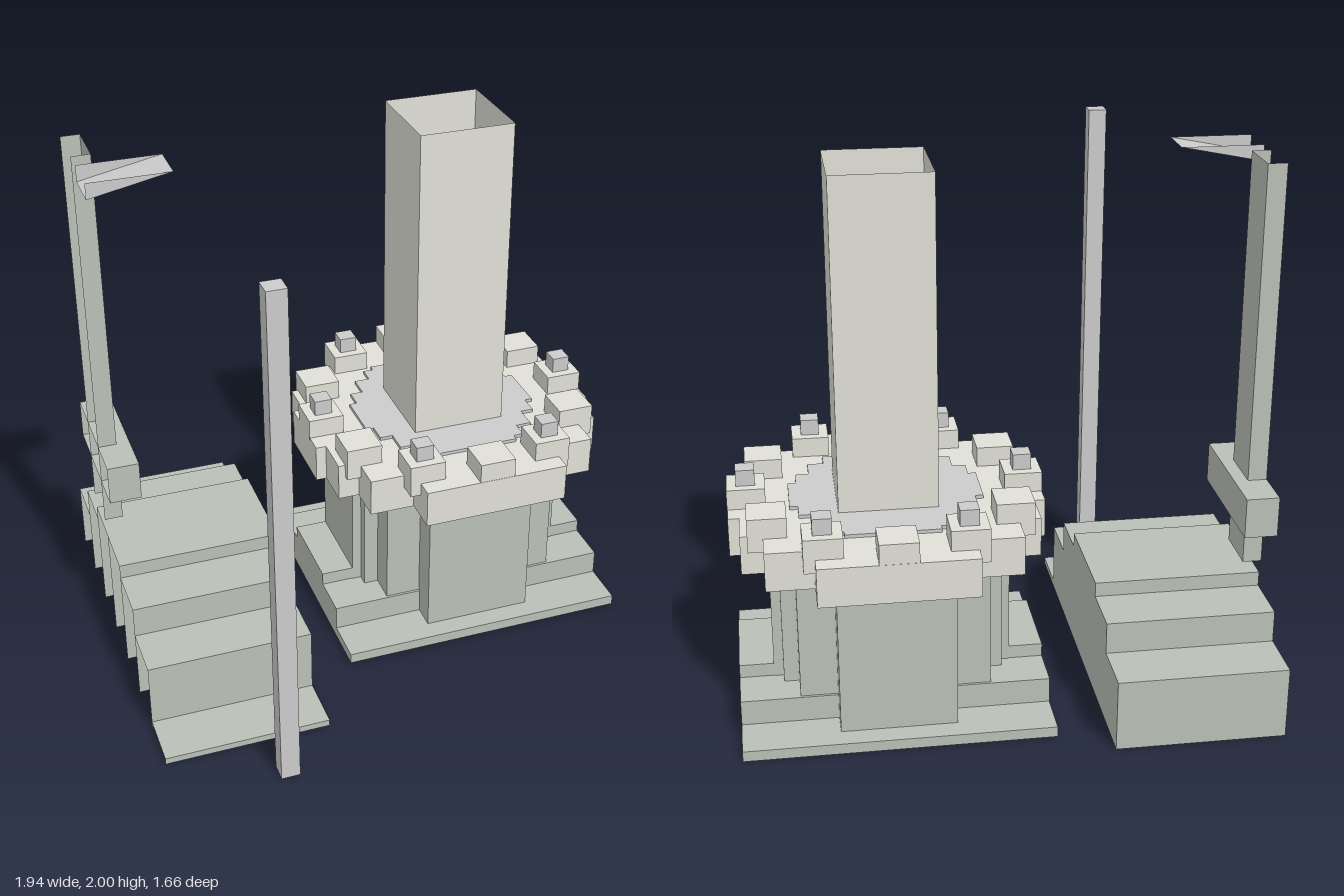
import * as THREE from 'three';

const mat = (color) => new THREE.MeshStandardMaterial({ color, side: THREE.DoubleSide, flatShading: true });
const CX = 0.4, CZ = -0.205; // tower axis

// Box from bounds; omit lists open sides: 0 +x, 1 -x, 2 +y, 3 -y, 4 +z, 5 -z
function box(name, [x0, x1], [y0, y1], [z0, z1], material, omit = []) {
  const g = new THREE.BoxGeometry(x1 - x0, y1 - y0, z1 - z0);
  const keep = [];
  for (let f = 0; f < 6; f++) {
    if (!omit.includes(f)) for (let i = 0; i < 6; i++) keep.push(g.index.getX(f * 6 + i));
  }
  g.setIndex(keep);
  g.clearGroups();
  g.translate((x0 + x1) / 2, (y0 + y1) / 2, (z0 + z1) / 2);
  const m = new THREE.Mesh(g, material);
  m.name = name;
  return m;
}

// Stepped round outline made of nested rectangles [half x, half z]
function steppedPoints(levels) {
  const q = [];
  levels.forEach(([hx, hz], i) => {
    q.push([hx, hz]);
    if (i < levels.length - 1) q.push([hx, levels[i + 1][1]]);
  });
  const r = [...q].reverse();
  return [
    ...q, ...r.map(([x, z]) => [x, -z]),
    ...q.map(([x, z]) => [-x, -z]), ...r.map(([x, z]) => [-x, z]),
  ].map(([x, z]) => new THREE.Vector2(x, z));
}

// Upright slab around the tower axis, with an optional hole
function slab(name, outline, hole, y0, y1, material) {
  const shape = new THREE.Shape(outline);
  if (hole) shape.holes.push(new THREE.Path(hole));
  const g = new THREE.ExtrudeGeometry(shape, { depth: y1 - y0, bevelEnabled: false });
  g.rotateX(-Math.PI / 2);
  g.translate(CX, y0, CZ);
  const m = new THREE.Mesh(g, material);
  m.name = name;
  return m;
}

export function createModel() {
  const model = new THREE.Group();
  const stone = mat(0xbabfb7), pale = mat(0xe0e0d7), grey = mat(0xcccccc);

  // Tower
  const tower = new THREE.Group();
  tower.name = 'tower';
  model.add(tower);

  const bodyLevels = [[0.21, 0.435], [0.345, 0.33], [0.4, 0.22], [0.435, 0.175]];
  const bodyOutline = steppedPoints(bodyLevels);

  // Base plate: thin, hollow underneath
  const plate = steppedPoints([[0.56, 0.515]]);
  tower.add(slab('basePlate', plate, bodyOutline, 0.03, 0.04, stone));
  tower.add(box('basePlateRim', [CX - 0.56, CX + 0.56], [0, 0.04], [CZ - 0.515, CZ + 0.515], stone, [2, 3]));

  // Side steps on both flanks
  for (const [h, hz] of [[0.135, 0.34], [0.185, 0.172]]) {
    for (const s of [-1, 1]) {
      const xs = [CX + s * 0.345, CX + s * 0.56].sort((a, b) => a - b);
      tower.add(box('sideStep', xs, [0, h], [CZ - hz, CZ + hz], stone, [3]));
    }
  }
  for (const s of [-1, 1]) {
    const xs = [CX + s * 0.2, CX + s * 0.345].sort((a, b) => a - b);
    tower.add(box('sideStepEnd', xs, [0.04, 0.135], [CZ - 0.34, CZ + 0.34], stone, [3]));
  }

  // Body: strips across x approximating a round plan, open below
  const edges = bodyLevels.map((l) => l[1]);
  bodyLevels.forEach(([hx, hz], i) => {
    const xs = [CX - hx, CX + hx];
    if (i === bodyLevels.length - 1) {
      tower.add(box('bodyStrip', xs, [0, 0.63], [CZ - hz, CZ + hz], stone, [3]));
      return;
    }
    tower.add(box('bodyStrip', xs, [0, 0.63], [CZ + edges[i + 1], CZ + hz], stone, [3]));
    tower.add(box('bodyStrip', xs, [0, 0.63], [CZ - hz, CZ - edges[i + 1]], stone, [3]));
  });

  // Parapet ring and floor
  const ringOuter = steppedPoints([[0.28, 0.575], [0.45, 0.435], [0.53, 0.295], [0.57, 0.145]]);
  const ringInner = steppedPoints([[0.17, 0.355], [0.21, 0.33], [0.27, 0.265], [0.32, 0.175], [0.35, 0.1]]);
  tower.add(slab('parapetRing', ringOuter, ringInner, 0.62, 0.765, pale));
  tower.add(slab('towerFloor', ringInner, null, 0.76, 0.778, grey));

  // Merlons, every second one topped with a small cube
  for (let i = 0; i < 12; i++) {
    const a = (i * Math.PI) / 6;
    const x = CX + 0.502 * Math.cos(a), z = CZ + 0.505 * Math.sin(a);
    const span = (c, h) => [c - h, c + h];
    tower.add(box('merlon', span(x, 0.069), [0.715, 0.84], span(z, 0.069), pale));
    if (i % 2 === 0) tower.add(box('merlonCap', span(x, 0.034), [0.84, 0.9], span(z, 0.034), grey, [3]));
  }

  // Square shaft, open at the top
  tower.add(box('shaft', [0.22, 0.58], [0.77, 2], [-0.38, -0.02], pale, [2, 3]));

  // Stairs: a row of hollow blocks, open below and on the outer side
  const stairs = new THREE.Group();
  stairs.name = 'stairs';
  model.add(stairs);
  const pitch = 1.45 / 7;
  [0.27, 0.39, 0.445, 0.445, 0.39, 0.27, 0.025].forEach((h, i) => {
    const z = -0.83 + i * pitch;
    stairs.add(box('stairBlock', [-0.97, -0.35], [0, h], [z, z + pitch], stone, [1, 3]));
  });

  // Wall pillar with bracket, open on the outer side
  model.add(box('wallPillar', [-0.97, -0.9], [0.5, 2], [-0.43, -0.24], stone, [1, 2, 3]));
  model.add(box('wallBracket', [-0.97, -0.85], [0.68, 0.83], [-0.59, -0.08], stone, [1]));

  // Sloped trough beside the pillar top: slanted floor and two end walls
  const trough = new THREE.BufferGeometry();
  const tri = [[-0.97, 2], [-0.97, 1.94], [-0.67, 2]];
  const pos = [0, -0.16].flatMap((z) => tri.flatMap(([x, y]) => [x, y, z]));
  trough.setAttribute('position', new THREE.Float32BufferAttribute(pos, 3));
  trough.setIndex([0, 1, 2, 3, 5, 4, 1, 4, 5, 1, 5, 2]);
  const flat = trough.toNonIndexed();
  flat.computeVertexNormals();
  const troughMesh = new THREE.Mesh(flat, grey);
  troughMesh.name = 'slopedTrough';
  model.add(troughMesh);

  // Free-standing pole
  model.add(box('pole', [-0.6, -0.53], [0, 1.94], [0.76, 0.83], grey, [3]));

  return model;
}
